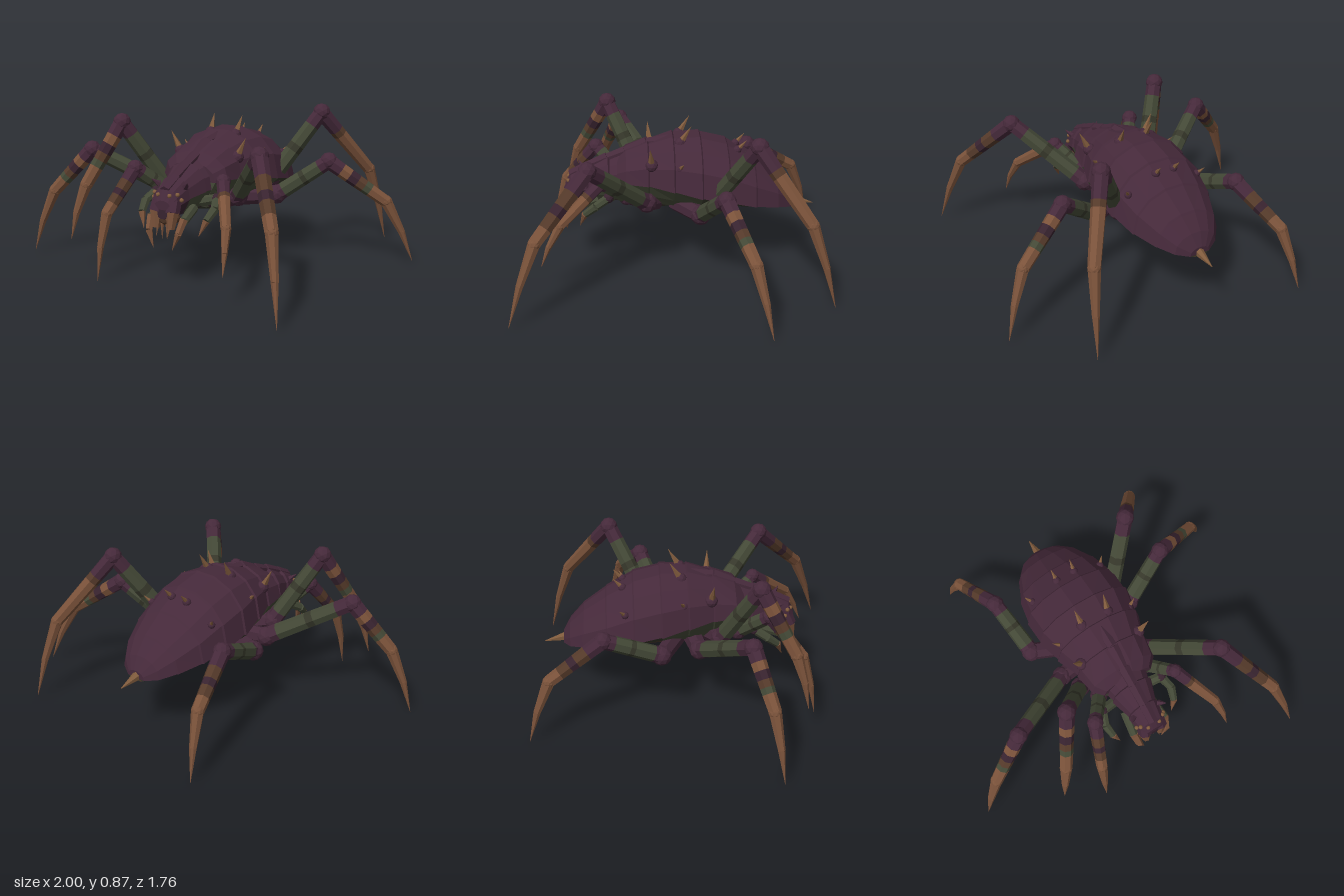
import * as THREE from 'three';

const mat = (name, color) => {
  const m = new THREE.MeshStandardMaterial({ color, flatShading: true });
  m.name = name;
  return m;
};
const V = (p) => new THREE.Vector3(...p);

export function createModel() {
  const purple = mat('purple shell', 0x45293a);
  const darkPurple = mat('dark purple', 0x38232f);
  const green = mat('mossy green', 0x434836);
  const darkGreen = mat('dark belly green', 0x36372a);
  const brown = mat('claw brown', 0x7a523a);
  const darkBrown = mat('dark brown', 0x553a2a);
  const ochre = mat('horn ochre', 0x7f5a3c);

  const model = new THREE.Group();
  model.name = 'spider';

  // tapered tube between two points
  function limb(parent, name, a, b, r1, r2, material, sides = 7) {
    const A = V(a), d = V(b).sub(A), len = d.length();
    const mesh = new THREE.Mesh(new THREE.CylinderGeometry(r2, r1, len, sides), material);
    mesh.name = name;
    mesh.position.copy(A).addScaledVector(d, 0.5);
    mesh.quaternion.setFromUnitVectors(new THREE.Vector3(0, 1, 0), d.normalize());
    parent.add(mesh);
  }
  // tube split along its length into coloured bands: [end fraction, material]
  function banded(parent, name, a, b, r1, r2, bands) {
    const A = V(a), B = V(b);
    let f = 0;
    for (const [end, m] of bands) {
      const p = A.clone().lerp(B, f).toArray(), q = A.clone().lerp(B, end).toArray();
      limb(parent, name, p, q, r1 + (r2 - r1) * f, r1 + (r2 - r1) * end, m);
      f = end;
    }
  }
  function joint(parent, name, p, r, material, sx = 1, sy = 1, sz = 1) {
    const mesh = new THREE.Mesh(new THREE.IcosahedronGeometry(r, 1), material);
    mesh.name = name;
    mesh.position.set(...p);
    mesh.scale.set(sx, sy, sz);
    parent.add(mesh);
  }
  // closed loft; rings are [z, half width, top, rim, bottom]; the underside is tucked in below the rim
  function loft(name, rings, n, mats, pick) {
    const f = rings[0], l = rings[rings.length - 1];
    const all = [[f[0], 0.001, f[3], f[3], f[3]], ...rings, [l[0], 0.001, l[3], l[3], l[3]]];
    const pt = ([z, w, top, rim, bot], j) => {
      const t = (j / n) * Math.PI * 2, s = Math.sin(t);
      if (j % n > n / 2) return [w * 0.86 * Math.cos(t), rim + (rim - bot) * s, z];
      return [w * Math.cos(t), rim + (top - rim) * Math.pow(Math.max(s, 0), 0.85), z];
    };
    const buckets = mats.map(() => []);
    for (let i = 0; i < all.length - 1; i++) {
      for (let j = 0; j < n; j++) {
        const a = pt(all[i], j), b = pt(all[i], j + 1), c = pt(all[i + 1], j), d = pt(all[i + 1], j + 1);
        buckets[pick((all[i][0] + all[i + 1][0]) / 2, j)].push(...a, ...c, ...b, ...b, ...c, ...d);
      }
    }
    const g = new THREE.BufferGeometry();
    g.setAttribute('position', new THREE.Float32BufferAttribute(buckets.flat(), 3));
    let start = 0;
    buckets.forEach((k, i) => { g.addGroup(start, k.length / 3, i); start += k.length / 3; });
    g.computeVertexNormals();
    const mesh = new THREE.Mesh(g, mats);
    mesh.name = name;
    model.add(mesh);
  }

  // body shell, each plate ending in a small step down
  const sections = [
    [0.31, 0.15, 0.62, 0.52, 0.38], [0.26, 0.20, 0.67, 0.53, 0.37], [0.14, 0.22, 0.72, 0.52, 0.345],
    [0.0, 0.265, 0.755, 0.50, 0.34], [-0.15, 0.295, 0.755, 0.47, 0.34], [-0.30, 0.29, 0.71, 0.44, 0.345],
    [-0.45, 0.255, 0.62, 0.40, 0.35], [-0.58, 0.195, 0.525, 0.37, 0.34], [-0.66, 0.13, 0.44, 0.345, 0.325],
    [-0.70, 0.06, 0.37, 0.33, 0.315],
  ];
  const stepped = sections.flatMap((s, i) => (i < 2 || i > 7 ? [s]
    : [s, [s[0] - 0.008, s[1] * 0.97, s[2] - 0.01, s[3], s[4]]]));
  loft('bodyShell', stepped, 14, [purple, darkGreen, brown, darkBrown, green], (z, j) => {
    if (j < 7) return 0;
    const side = Math.min(j - 7, 13 - j);
    if (z > -0.12) return side < 2 ? 4 : 1;
    if (side === 1) return z < -0.25 && z > -0.6 ? 2 : 3;
    return side === 3 && z > -0.55 ? 3 : 1;
  });

  // head: purple on top and in front, green cheeks
  loft('head', [
    [0.60, 0.055, 0.47, 0.42, 0.37], [0.57, 0.08, 0.53, 0.44, 0.36], [0.48, 0.095, 0.58, 0.46, 0.36],
    [0.47, 0.088, 0.57, 0.46, 0.36], [0.36, 0.125, 0.63, 0.48, 0.36], [0.35, 0.115, 0.615, 0.48, 0.36],
    [0.24, 0.15, 0.66, 0.48, 0.36],
  ], 14, [purple, green, darkPurple], (z, j) => {
    if (j < 7) return 0;
    return z < 0.5 && (j < 9 || j > 11) ? 1 : 2;
  });

  // low ridge running along the back and head
  [[0.02, 0.73, 0.14, 0.717], [0.14, 0.72, 0.27, 0.662], [0.26, 0.667, 0.37, 0.625],
    [0.36, 0.632, 0.48, 0.58], [0.47, 0.582, 0.57, 0.535]].forEach(([z1, y1, z2, y2]) => {
    limb(model, 'backRidge', [0, y1 - 0.022, z1], [0, y2 - 0.02, z2], 0.036, 0.03, purple, 6);
  });

  // tail horn, thorax underside and mouth
  limb(model, 'tailHorn', [0, 0.345, -0.66], [0, 0.31, -0.81], 0.034, 0.002, ochre, 6);
  joint(model, 'sternum', [0, 0.37, 0.08], 0.1, darkGreen, 1.0, 0.45, 1.9);
  joint(model, 'mouth', [0, 0.375, 0.55], 0.05, darkBrown, 1.5, 1, 1);

  for (const s of [1, -1]) {
    // back horns on purple knobs: [base, tip, radius]
    [
      [[0.08, 0.72, -0.04], [0.09, 0.82, -0.10], 0.022], [[0.18, 0.63, 0.12], [0.235, 0.74, 0.13], 0.024],
      [[0.055, 0.665, -0.36], [0.06, 0.72, -0.41], 0.016], [[0.22, 0.58, -0.35], [0.25, 0.62, -0.38], 0.014],
      [[0.215, 0.62, -0.03], [0.26, 0.66, -0.05], 0.016],
    ].forEach(([a, b, r]) => {
      const base = [a[0] * s, a[1], a[2]];
      joint(model, 'hornKnob', base, r * 1.5, purple);
      limb(model, 'backHorn', base, [b[0] * s, b[1], b[2]], r, 0.001, ochre, 5);
    });

    // eyes and brow
    [[0.035, 0.495, 0.582], [0.07, 0.50, 0.56], [0.085, 0.47, 0.545]].forEach(([x, y, z]) => joint(model, 'eye', [x * s, y, z], 0.012, ochre));
    limb(model, 'browSpike', [s * 0.08, 0.53, 0.5], [s * 0.11, 0.56, 0.53], 0.018, 0.001, purple, 5);

    // jaws, fangs and mouth spines
    limb(model, 'jaw', [s * 0.042, 0.46, 0.55], [s * 0.05, 0.40, 0.58], 0.042, 0.038, purple);
    limb(model, 'jawTip', [s * 0.05, 0.41, 0.575], [s * 0.045, 0.32, 0.59], 0.037, 0.022, brown);
    limb(model, 'fang', [s * 0.10, 0.37, 0.55], [s * 0.09, 0.30, 0.59], 0.024, 0.02, brown, 6);
    limb(model, 'fangTip', [s * 0.09, 0.30, 0.59], [s * 0.058, 0.21, 0.60], 0.02, 0.001, brown, 6);
    [[0.015, 0.26, 0.58], [0.035, 0.28, 0.605]].forEach(([x, y, z]) =>
      limb(model, 'mouthSpine', [s * x, 0.38, 0.575], [s * x, y, z], 0.014, 0.001, brown, 5));

    // feelers beside the head
    const f = [[0.09, 0.42, 0.34], [0.19, 0.45, 0.36], [0.215, 0.41, 0.43], [0.20, 0.36, 0.49], [0.17, 0.28, 0.52]]
      .map(([x, y, z]) => [x * s, y, z]);
    limb(model, 'feeler', f[0], f[1], 0.03, 0.028, green);
    joint(model, 'feelerJoint', f[1], 0.03, darkPurple);
    limb(model, 'feeler', f[1], f[2], 0.026, 0.024, green);
    limb(model, 'feeler', f[2], f[3], 0.025, 0.02, green);
    limb(model, 'feelerClaw', f[3], f[4], 0.02, 0.001, brown);
    limb(model, 'cheekFeeler', [s * 0.08, 0.40, 0.42], [s * 0.10, 0.36, 0.55], 0.028, 0.024, green);
  }

  // shin patterns: mostly brown, or mottled with purple and green
  const plain = [[0.3, purple], [0.38, darkBrown], [1, brown]];
  const mottled = [[0.22, purple], [0.36, brown], [0.5, darkPurple], [0.62, darkBrown], [0.72, green], [1, brown]];
  const dark = [[0.3, purple], [0.5, darkBrown], [0.62, darkPurple], [0.8, darkBrown], [1, brown]];

  // legs: [name, thickness, shin pattern, hip, base joint, knee, ankle, tip]
  const legs = [
    ['leftRearLeg', 1, plain, [0.08, 0.37, -0.12], [0.19, 0.40, -0.20], [0.43, 0.82, -0.43], [0.63, 0.46, -0.69], [0.695, 0.01, -0.82]],
    ['leftMidRearLeg', 1, mottled, [0.08, 0.37, -0.02], [0.29, 0.38, -0.14], [0.56, 0.58, -0.25], [0.86, 0.36, -0.37], [1.0, 0.01, -0.45]],
    ['leftMidFrontLeg', 1, dark, [0.08, 0.38, 0.10], [0.20, 0.42, 0.15], [0.49, 0.73, 0.46], [0.70, 0.43, 0.73], [0.805, 0.01, 0.875]],
    ['leftFrontLeg', 0.8, plain, [0.07, 0.39, 0.20], [0.16, 0.44, 0.26], [0.25, 0.56, 0.40], [0.39, 0.38, 0.62], [0.43, 0.16, 0.725]],
    ['rightRearLeg', 1, dark, [-0.08, 0.37, -0.06], [-0.35, 0.40, -0.16], [-0.40, 0.53, -0.47], [-0.495, 0.35, -0.76], [-0.55, 0.01, -0.88]],
    ['rightMidRearLeg', 1, mottled, [-0.08, 0.37, 0.02], [-0.27, 0.38, 0.05], [-0.67, 0.62, 0.29], [-0.88, 0.37, 0.38], [-1.0, 0.01, 0.43]],
    ['rightMidFrontLeg', 1, mottled, [-0.08, 0.38, 0.12], [-0.22, 0.42, 0.17], [-0.41, 0.81, 0.36], [-0.53, 0.48, 0.54], [-0.59, 0.18, 0.61]],
    ['rightFrontLeg', 0.9, dark, [-0.07, 0.39, 0.22], [-0.16, 0.43, 0.27], [-0.28, 0.58, 0.43], [-0.345, 0.36, 0.61], [-0.36, 0, 0.69]],
  ];
  for (const [name, k, shin, hip, base, knee, ankle, tip] of legs) {
    const leg = new THREE.Group();
    leg.name = name;
    limb(leg, 'hip', hip, base, 0.054 * k, 0.048 * k, purple);
    joint(leg, 'baseJoint', base, 0.056 * k, purple);
    banded(leg, 'thigh', base, knee, 0.048 * k, 0.043 * k,
      [[0.14, purple], [0.48, green], [0.56, darkGreen], [0.82, green], [1, purple]]);
    joint(leg, 'knee', knee, 0.05 * k, purple);
    banded(leg, 'shin', knee, ankle, 0.045 * k, 0.035 * k, shin);
    joint(leg, 'ankle', ankle, 0.035 * k, brown);
    // slightly curved claw in two pieces
    const mid = V(ankle).lerp(V(tip), 0.5);
    const out = new THREE.Vector3(ankle[0] - knee[0], 0, ankle[2] - knee[2]).normalize();
    mid.addScaledVector(out, 0.012);
    limb(leg, 'foot', ankle, mid.toArray(), 0.034 * k, 0.02 * k, brown);
    limb(leg, 'claw', mid.toArray(), tip, 0.02 * k, 0.001, brown);
    model.add(leg);
  }
  return model;
}
